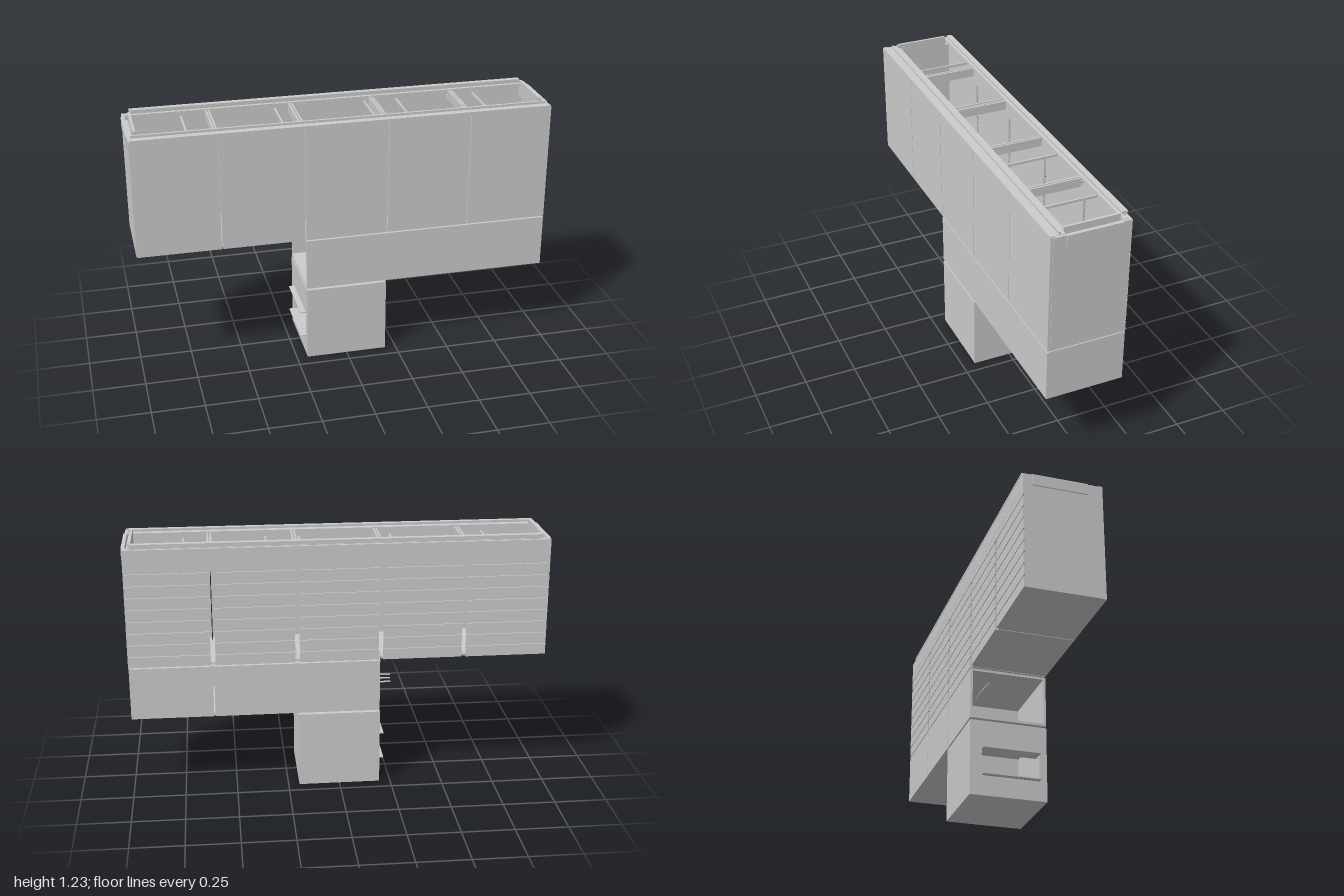
import * as THREE from 'three';

const material = new THREE.MeshStandardMaterial({ color: 0xcccccc, flatShading: true });

// Box from its two opposite corners
function box(parent, name, x0, x1, y0, y1, z0, z1) {
  const mesh = new THREE.Mesh(new THREE.BoxGeometry(x1 - x0, y1 - y0, z1 - z0), material);
  mesh.position.set((x0 + x1) / 2, (y0 + y1) / 2, (z0 + z1) / 2);
  mesh.name = name;
  parent.add(mesh);
  return mesh;
}

function group(parent, name) {
  const g = new THREE.Group();
  g.name = name;
  parent.add(g);
  return g;
}

const D = 0.187;   // half depth
const T = 0.012;   // wall thickness
const BAY = 0.398; // bay width
const bayStart = i => -0.995 + i * BAY;

// Upper volume: five bays, open roof, slatted back
function buildUpper(root) {
  const g = group(root, 'upperVolume');
  const y0 = 0.64, y1 = 1.21;
  for (let i = 0; i < 5; i++) {
    const a = bayStart(i), b = a + BAY;
    box(g, 'frontPanel', a + 0.002, b - 0.002, y0, y1, D - T, D);
    box(g, 'floorPanel', a + 0.002, b - 0.002, y0, y0 + T, -D + T, D - T);
    // Backing and slats leave an open slit at each bay joint
    const sa = a + (i > 0 ? 0.011 : 0), sb = b - (i < 4 ? 0.011 : 0);
    box(g, 'slatBacking', sa, sb, y0, 1.1, -D + 0.007, -D + T);
    for (let k = 0; k < 8; k++) {
      const y = y0 + k * 0.0575;
      box(g, 'backSlat', sa, sb, y, y + 0.052, -D, -D + 0.008);
    }
    box(g, 'backTopPanel', a, b, 1.1, y1, -D, -D + T);
    for (let k = 0; k < 12; k++) {
      const x = a + 0.03 + k * 0.03;
      box(g, 'backVent', x, x + 0.012, 1.133, 1.136, -D - 0.001, -D);
    }
  }
  for (const s of [-1, 1]) {
    const e = (p, q) => (s > 0 ? [p, q] : [-q, -p]);
    box(g, 'endWall', ...e(0.983, 0.995), y0, y1, -D + T, D - T);
    box(g, 'endPlate', ...e(0.995, 1.0), 1.155, 1.21, -0.145, 0.115);
    box(g, 'endRail', ...e(0.955, 0.967), 1.155, 1.232, -0.145, 0.115);
    box(g, 'endLedge', ...e(0.967, 0.983), 1.17, 1.18, -0.175, 0.175);
  }
  return g;
}

// Rails and cross beams along the open roof
function buildRoofFrame(root) {
  const g = group(root, 'roofFrame');
  box(g, 'frontLedge', -0.983, 0.983, 1.2, 1.212, 0.115, D - T);
  box(g, 'frontCoping', -0.99, 0.99, 1.21, 1.216, 0.165, D);
  box(g, 'frontRail', -0.98, 0.98, 1.212, 1.223, 0.135, 0.143);
  box(g, 'frontInnerBeam', -0.955, 0.955, 1.16, 1.212, 0.103, 0.115);
  box(g, 'backLedge', -0.983, 0.983, 1.2, 1.212, -D + T, -0.15);
  box(g, 'backRail', -0.96, 0.96, 1.224, 1.234, -0.182, -0.155);
  box(g, 'backRailWeb', -0.96, 0.96, 1.21, 1.224, -0.172, -0.166);
  for (let i = 1; i < 5; i++) {
    const x = bayStart(i);
    for (const s of [-1, 1]) {
      box(g, 'jointBeam', x + s * 0.007 - 0.004, x + s * 0.007 + 0.004, 1.165, 1.208, -0.15, 0.104);
    }
  }
  for (const x of [-0.72, -0.27, 0.17, 0.33, 0.59, 0.72]) {
    box(g, 'crossBar', x - 0.004, x + 0.004, 1.17, 1.182, -0.17, 0.104);
  }
}

// Middle volume: long box with an open right end
function buildMiddle(root) {
  const g = group(root, 'middleVolume');
  const x0 = -0.197, x1 = 0.993, y0 = 0.38, y1 = 0.634;
  box(g, 'front', x0, x1, y0, y1, D - T, D);
  box(g, 'floor', x0, x1, y0, y0 + T, -D + T, D - T);
  box(g, 'ceiling', x0, x1, y1 - T, y1, -D + T, D - T);
  box(g, 'leftEnd', x1 - T, x1, y0 + T, y1 - T, -D + T, D - T);
  for (let i = 0; i < 3; i++) {
    const a = bayStart(i + 2);
    box(g, 'backPanel', a + 0.004, a + BAY - 0.002, y0, y1, -D, -D + T);
  }
  box(g, 'innerPartition', 0.19, 0.2, y0 + T, y1 - T, -D + T, D - T);
  box(g, 'connector', -0.1, 0.1, 0.63, 0.645, -0.15, 0.15);

  // Pipes sticking out of the open end
  for (let k = 0; k < 3; k++) {
    const pipe = new THREE.Mesh(new THREE.CylinderGeometry(0.004, 0.004, 0.12, 8), material);
    pipe.rotation.z = Math.PI / 2;
    pipe.position.set(-0.192, 0.507 + k * 0.014, -0.14 + k * 0.012);
    pipe.name = 'pipe';
    g.add(pipe);
  }
}

// Base volume: square box with a window in its right side
function buildBase(root) {
  const g = group(root, 'baseVolume');
  const w = 0.197, y1 = 0.37;
  box(g, 'front', -w, w, 0, y1, D - T, D);
  box(g, 'back', -w, w, 0, y1, -D, -D + T);
  box(g, 'floor', -w, w, 0, T, -D + T, D - T);
  box(g, 'ceiling', -w, w, y1 - T, y1, -D + T, D - T);
  box(g, 'leftWall', w - T, w, T, y1 - T, -D + T, D - T);

  // Pierced wall drawn in the z-y plane
  const zr = D - T;
  const wall = new THREE.Shape([[-zr, T], [zr, T], [zr, y1 - T], [-zr, y1 - T]].map(p => new THREE.Vector2(...p)));
  wall.holes.push(new THREE.Path([[-0.13, 0.1], [-0.13, 0.23], [0.15, 0.23], [0.15, 0.1]].map(p => new THREE.Vector2(...p))));
  const geo = new THREE.ExtrudeGeometry(wall, { depth: T, bevelEnabled: false });
  geo.rotateY(-Math.PI / 2);
  const mesh = new THREE.Mesh(geo, material);
  mesh.position.x = -w + T;
  mesh.name = 'windowWall';
  g.add(mesh);
  for (const y of [0.098, 0.228]) box(g, 'windowLedge', -0.224, -0.15, y, y + 0.005, -0.13, 0.15);
}

export function createModel() {
  const root = new THREE.Group();
  root.name = 'building';
  buildUpper(root);
  buildRoofFrame(root);
  buildMiddle(root);
  buildBase(root);
  return root;
}
